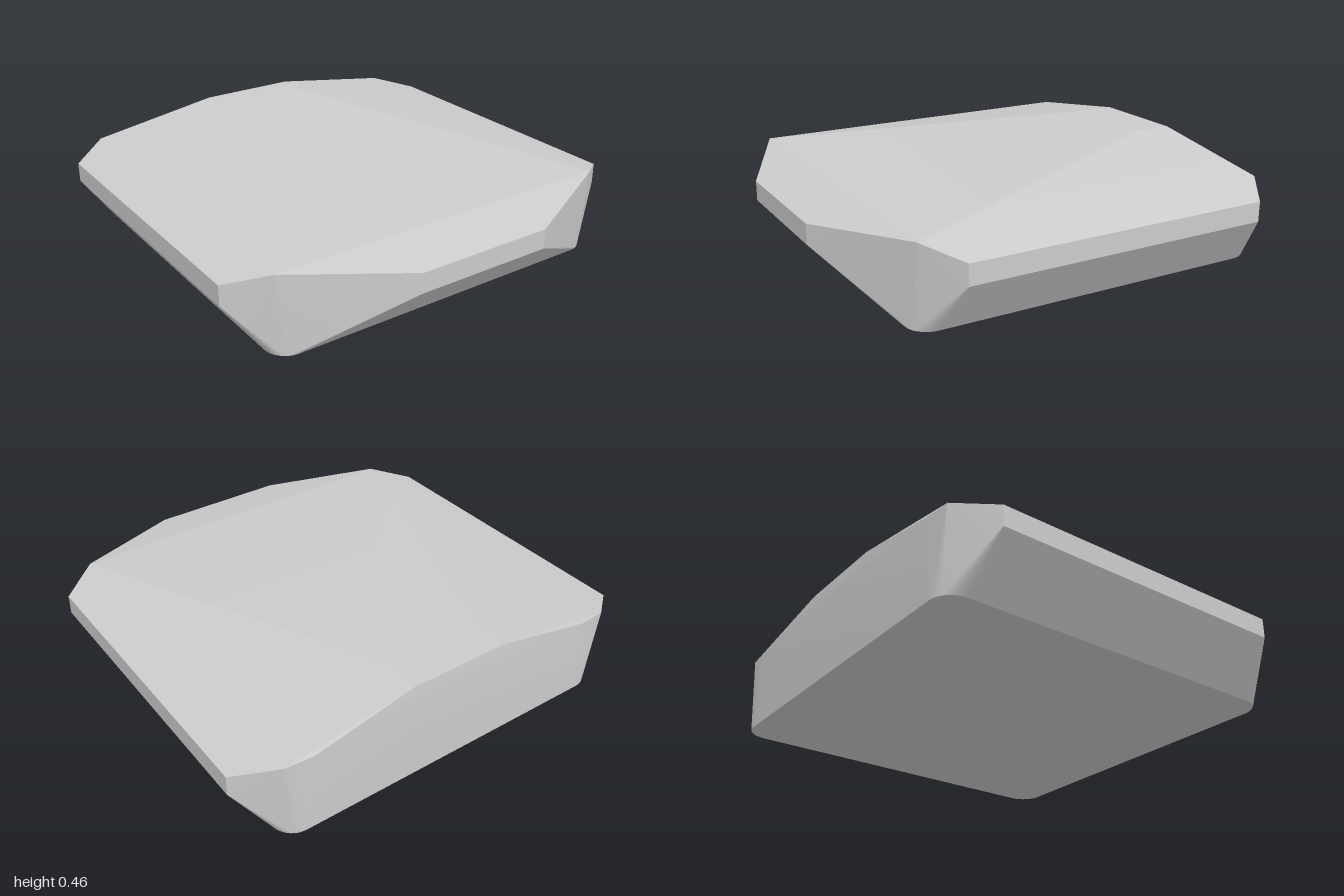
import * as THREE from 'three';
import { ConvexGeometry } from 'three/addons/geometries/ConvexGeometry.js';
import { toCreasedNormals } from 'three/addons/utils/BufferGeometryUtils.js';

export function createModel() {
  const group = new THREE.Group();
  const points = [];
  // adds a corner and its mirror image
  const pair = (x, y, z) => points.push(new THREE.Vector3(x, y, z), new THREE.Vector3(-x, y, z));

  // flat base with rounded corners
  const halfWidth = 0.84, front = 0.73, back = -0.945, radius = 0.1, steps = 12;
  for (let i = 0; i <= steps; i++) {
    const a = (i / steps) * Math.PI / 2;
    const x = halfWidth - radius + radius * Math.cos(a);
    const inset = radius - radius * Math.sin(a);
    pair(x, 0, front - inset);
    pair(x, 0, back + inset);
  }

  // upright band around the widest part
  for (const y of [0.23, 0.32]) {
    pair(0.32, y, 0.95);
    pair(1, y, 0.59);
    pair(1, y, -0.81);
  }

  // shoulders of the sloping top
  pair(0.83, 0.368, 0.715);
  pair(0.83, 0.368, -0.938);
  pair(0.7, 0.37, -0.948);

  // raised plateau at the back
  pair(0.23, 0.46, -0.76);
  pair(0.23, 0.46, -0.938);

  const geometry = toCreasedNormals(new ConvexGeometry(points), 0.135);
  const body = new THREE.Mesh(geometry, new THREE.MeshStandardMaterial({ color: 0xcccccc }));
  body.name = 'facetedBody';
  group.add(body);
  return group;
}
